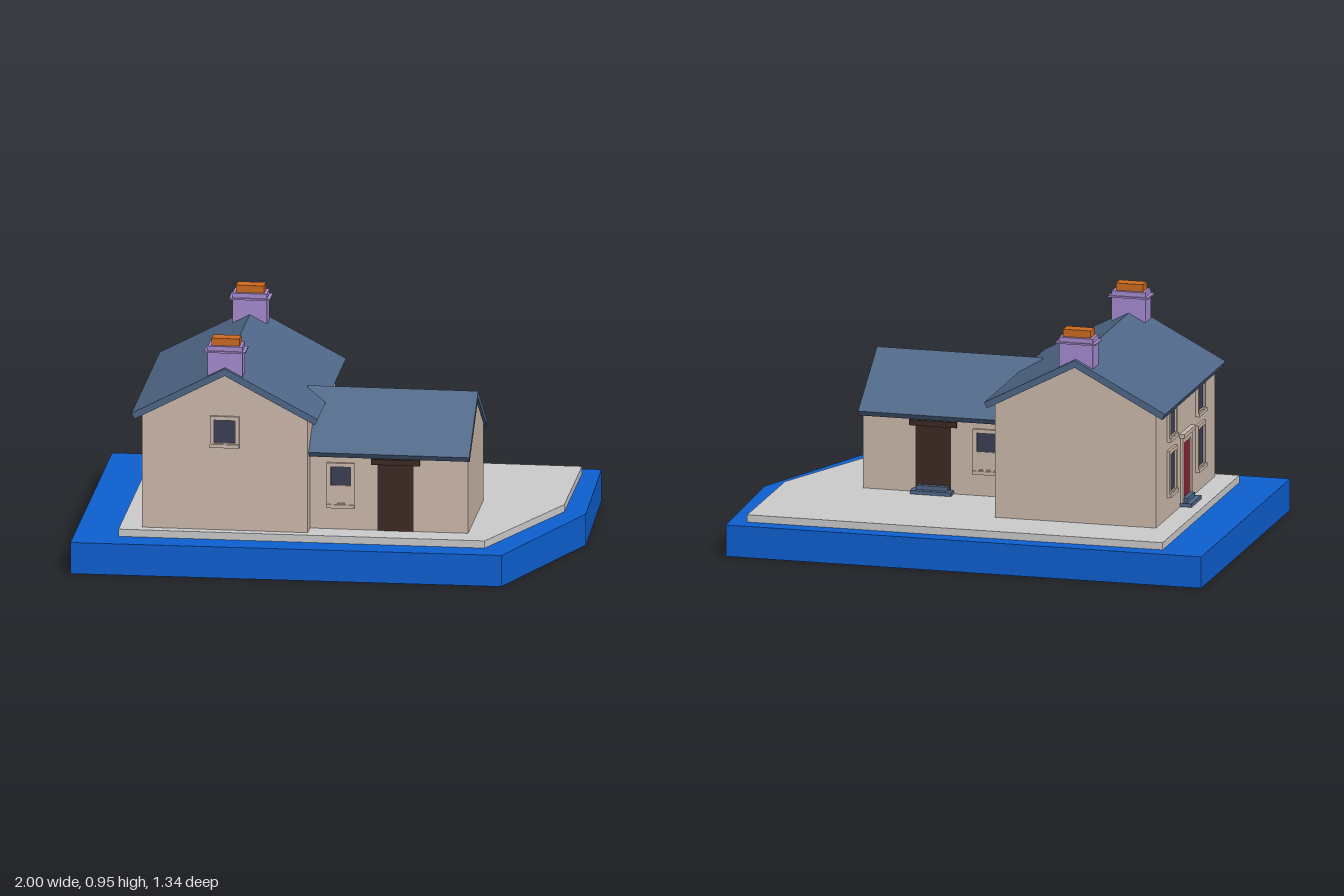
import * as THREE from 'three';

const mat = (color) => new THREE.MeshStandardMaterial({ color, side: THREE.DoubleSide });
const M = {
  blue: mat(0x0d5fd0), ground: mat(0xcccccc), wall: mat(0xcdb9ac), roof: mat(0x4f6788),
  stack: mat(0xa58cd0), pot: mat(0xcc6a1f), timber: mat(0x3d2a25), red: mat(0x8f2035), glass: mat(0x3a3f55),
};

const shapeOf = (pts) => new THREE.Shape(pts.map(([x, y]) => new THREE.Vector2(x, y)));

function add(parent, name, geometry, material) {
  const mesh = new THREE.Mesh(geometry, material);
  mesh.name = name;
  parent.add(mesh);
  return mesh;
}

// Box given by its limits
function box(parent, name, material, x0, x1, y0, y1, z0, z1) {
  const g = new THREE.BoxGeometry(x1 - x0, y1 - y0, z1 - z0);
  g.translate((x0 + x1) / 2, (y0 + y1) / 2, (z0 + z1) / 2);
  return add(parent, name, g, material);
}

const extrude = (shape, depth) => new THREE.ExtrudeGeometry(shape, { depth, bevelEnabled: false });

// Gabled block along local z: walls plus a bent roof slab with square-cut eaves
function gabledBlock(name, o) {
  const g = new THREE.Group();
  g.name = name;
  const slope = (o.ridge - o.eave) / o.roofHalf;
  const xi = o.roofHalf - o.cut[0], yi = o.eave - o.cut[1];
  const under = yi + xi * slope;
  const wallTop = under - o.wallHalf * slope;
  const w = o.wallHalf, r = o.roofHalf;
  add(g, name + 'Walls', extrude(shapeOf([[-w, 0.15], [w, 0.15], [w, wallTop], [0, under], [-w, wallTop]]),
    o.wallZ[1] - o.wallZ[0]), M.wall).position.z = o.wallZ[0];
  add(g, name + 'Roof', extrude(shapeOf([[-xi, yi], [0, under], [xi, yi], [r, o.eave], [0, o.ridge], [-r, o.eave]]),
    o.roofZ[1] - o.roofZ[0]), M.roof).position.z = o.roofZ[0];
  return g;
}

// Group standing on a wall, its own +z pointing out of that wall
function onWall(parent, name, x, z, turn) {
  const g = new THREE.Group();
  g.name = name;
  g.position.set(x, 0, z);
  g.rotation.y = turn;
  parent.add(g);
  return g;
}

// Window: frame with an opening, pane and projecting sill
function windowOn(parent, x, z, turn, w, y0, y1, glassBottom = y0 + 0.02) {
  const g = onWall(parent, 'window', x, z, turn);
  const h = w / 2, b = 0.016;
  const frame = shapeOf([[-h, y0], [h, y0], [h, y1], [-h, y1]]);
  frame.holes.push(new THREE.Path([[-h + b, y0 + 0.02], [-h + b, y1 - b], [h - b, y1 - b], [h - b, y0 + 0.02]]
    .map(([a, c]) => new THREE.Vector2(a, c))));
  add(g, 'windowFrame', extrude(frame, 0.011), M.wall);
  box(g, 'windowSill', M.wall, -h, h, y0, y0 + 0.015, 0, 0.017);
  box(g, 'windowPane', M.glass, -h + b, h - b, glassBottom, y1 - b, -0.01, 0.004);
  if (glassBottom > y0 + 0.03) box(g, 'lowerPanel', M.wall, -h + b, h - b, y0 + 0.02, glassBottom, -0.01, 0.007);
}

function steps(g, half) {
  box(g, 'lowerStep', M.roof, -half, half, 0.155, 0.175, 0, 0.047);
  box(g, 'upperStep', M.roof, -half + 0.02, half - 0.02, 0.175, 0.192, 0, 0.025);
}

export function createModel() {
  const model = new THREE.Group();
  model.name = 'houseOnPlinth';

  // Hollow plinth: side skirt and top rim around the yard slab (x, z outlines)
  const outer = [[-1, -0.67], [0.98, -0.67], [1, -0.01], [0.74, 0.645], [-1, 0.67]];
  const yard = [[-0.82, -0.6], [0.91, -0.6], [0.91, -0.03], [0.66, 0.545], [-0.82, 0.555]];
  const pos = [];
  outer.forEach(([x0, z0], i) => {
    const [x1, z1] = outer[(i + 1) % outer.length];
    pos.push(x0, 0, z0, x0, 0.13, z0, x1, 0.13, z1, x0, 0, z0, x1, 0.13, z1, x1, 0, z1);
  });
  const skirt = new THREE.BufferGeometry();
  skirt.setAttribute('position', new THREE.Float32BufferAttribute(pos, 3));
  skirt.computeVertexNormals();
  add(model, 'plinthSides', skirt, M.blue);
  // Outline reversed so the flat rim faces up
  const rim = shapeOf(outer.map(([x, z]) => [x, -z]));
  rim.holes.push(new THREE.Path(yard.map(([x, z]) => new THREE.Vector2(x, -z))));
  add(model, 'plinthTop', new THREE.ShapeGeometry(rim).rotateX(-Math.PI / 2), M.blue).position.y = 0.13;
  add(model, 'yardSlab', extrude(shapeOf(yard), 0.03).rotateX(Math.PI / 2), M.ground).position.y = 0.16;

  // Main house, ridge running front to back
  const house = gabledBlock('house', {
    wallHalf: 0.335, roofHalf: 0.377, ridge: 0.835, eave: 0.636, cut: [0.012, 0.024],
    wallZ: [-0.375, 0.513], roofZ: [-0.39, 0.524],
  });
  house.position.x = -0.395;
  model.add(house);

  // Side wing, ridge running left to right and dying into the main roof
  const wing = gabledBlock('wing', {
    wallHalf: 0.245, roofHalf: 0.287, ridge: 0.685, eave: 0.487, cut: [0.014, 0.021],
    wallZ: [0, 0.66], roofZ: [-0.01, 0.68],
  });
  wing.position.set(0.58, 0, 0.197);
  wing.rotation.y = -Math.PI / 2;
  model.add(wing);

  // Chimneys at both ends of the main ridge
  for (const z of [0.465, -0.327]) {
    const c = onWall(model, 'chimney', -0.395, z, 0);
    box(c, 'chimneyStack', M.stack, -0.07, 0.07, 0.74, 0.922, -0.042, 0.042);
    box(c, 'chimneyBand', M.stack, -0.083, 0.083, 0.896, 0.903, -0.049, 0.049);
    box(c, 'chimneyPot', M.pot, -0.057, 0.057, 0.922, 0.952, -0.028, 0.028);
  }

  // Main house windows: front gable, right wall and the two-storey left side
  const q = Math.PI / 2;
  windowOn(model, -0.395, 0.513, 0, 0.118, 0.505, 0.635);
  for (const [y0, y1] of [[0.475, 0.61], [0.245, 0.438]]) {
    windowOn(model, -0.06, -0.243, q, 0.116, y0, y1);
    for (const z of [-0.15, 0.28]) windowOn(model, -0.73, z, -q, 0.116, y0, y1);
  }

  // Red entrance on the left side
  const entry = onWall(model, 'entrance', -0.73, 0.065, -q);
  box(entry, 'redDoor', M.red, -0.05, 0.05, 0.175, 0.42, -0.01, 0.005);
  for (const s of [-1, 1]) box(entry, 'doorJamb', M.wall, s * 0.06 - 0.01, s * 0.06 + 0.01, 0.16, 0.42, 0, 0.011);
  box(entry, 'doorHead', M.wall, -0.07, 0.07, 0.42, 0.445, 0, 0.011);
  box(entry, 'doorCornice', M.wall, -0.085, 0.085, 0.445, 0.462, 0, 0.02);
  steps(entry, 0.075);

  // Wing: timber door and window on front and back
  for (const [z, turn] of [[0.442, 0], [-0.048, 2 * q]]) {
    windowOn(model, 0.065, z, turn, 0.112, 0.25, 0.437, 0.343);
    const door = onWall(model, 'wingDoor', 0.287, z, turn);
    box(door, 'timberDoor', M.timber, -0.073, 0.073, 0.16, 0.435, -0.01, 0.004);
    box(door, 'timberLintel', M.timber, -0.098, 0.098, 0.435, 0.458, -0.01, 0.011);
    if (turn) steps(door, 0.085);
  }
  return model;
}
